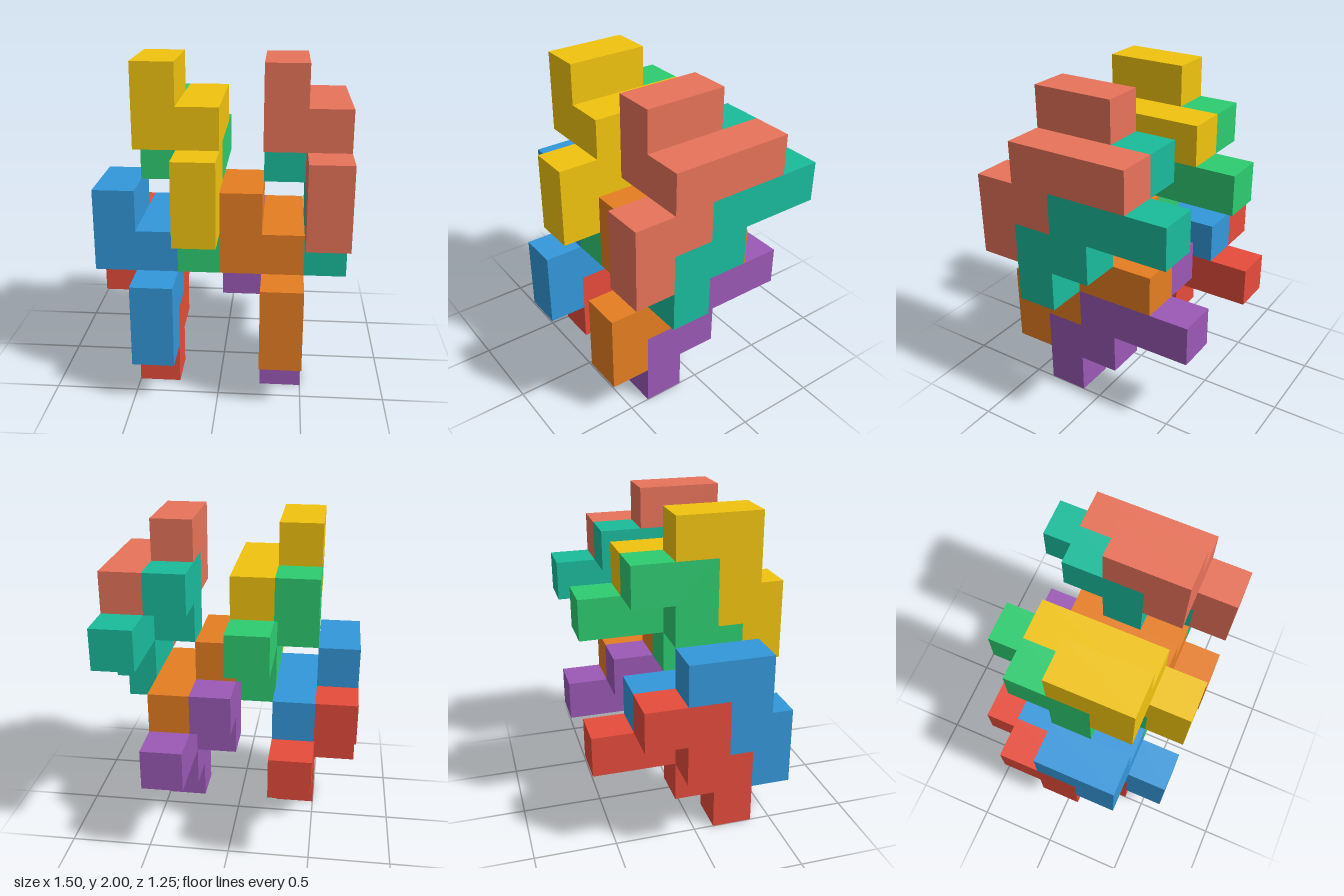
import * as THREE from 'three';

const U = 0.25; // edge of one cube cell

// Outlines in (z, y) cells, measured from the back bottom corner
const HOOK = [[3, 6], [4, 6], [4, 8], [2, 8], [2, 7], [3, 7]];
const STAIR = [[4, 4], [5, 4], [5, 6], [4, 6], [4, 7], [1, 7], [1, 6], [3, 6], [3, 5], [4, 5]];

// One-cell-thick slab with its outline in the z-y plane, filling x = 0..U
function slab(name, outline, material) {
  const shape = new THREE.Shape(outline.map(([z, y]) => new THREE.Vector2((z - 2.5) * U, y * U)));
  const geometry = new THREE.ExtrudeGeometry(shape, { depth: U, bevelEnabled: false });
  geometry.rotateY(-Math.PI / 2).translate(U, 0, 0);
  const mesh = new THREE.Mesh(geometry, material);
  mesh.name = name;
  return mesh;
}

// A puzzle piece: hook slab on the right, stair slab on the left
function piece(name, color) {
  const group = new THREE.Group();
  group.name = name;
  const material = new THREE.MeshStandardMaterial({ color });
  const stair = slab('stairSlab', STAIR, material);
  stair.position.x = U;
  group.add(slab('hookSlab', HOOK, material), stair);
  return group;
}

export function createModel() {
  const model = new THREE.Group();
  model.name = 'interlockingPieces';

  // Pairs of identical pieces: x cell, y drop in cells, upper piece, lower piece
  const pairs = [
    [1, 0, ['coralPiece', 0xe8735a], ['tealPiece', 0x1abc9c]],
    [-2, 0, ['yellowPiece', 0xf1c40f], ['greenPiece', 0x2ecc71]],
    [0, -3, ['orangePiece', 0xe67e22], ['purplePiece', 0x9b59b6]],
    [-3, -3, ['bluePiece', 0x3498db], ['redPiece', 0xe74c3c]],
  ];
  for (const [x, y, upper, lower] of pairs) {
    // The lower piece nests one cell down and one cell back
    [upper, lower].forEach(([name, color], i) => {
      const p = piece(name, color);
      p.position.set(x * U, (y - i) * U, -i * U);
      model.add(p);
    });
  }
  return model;
}
